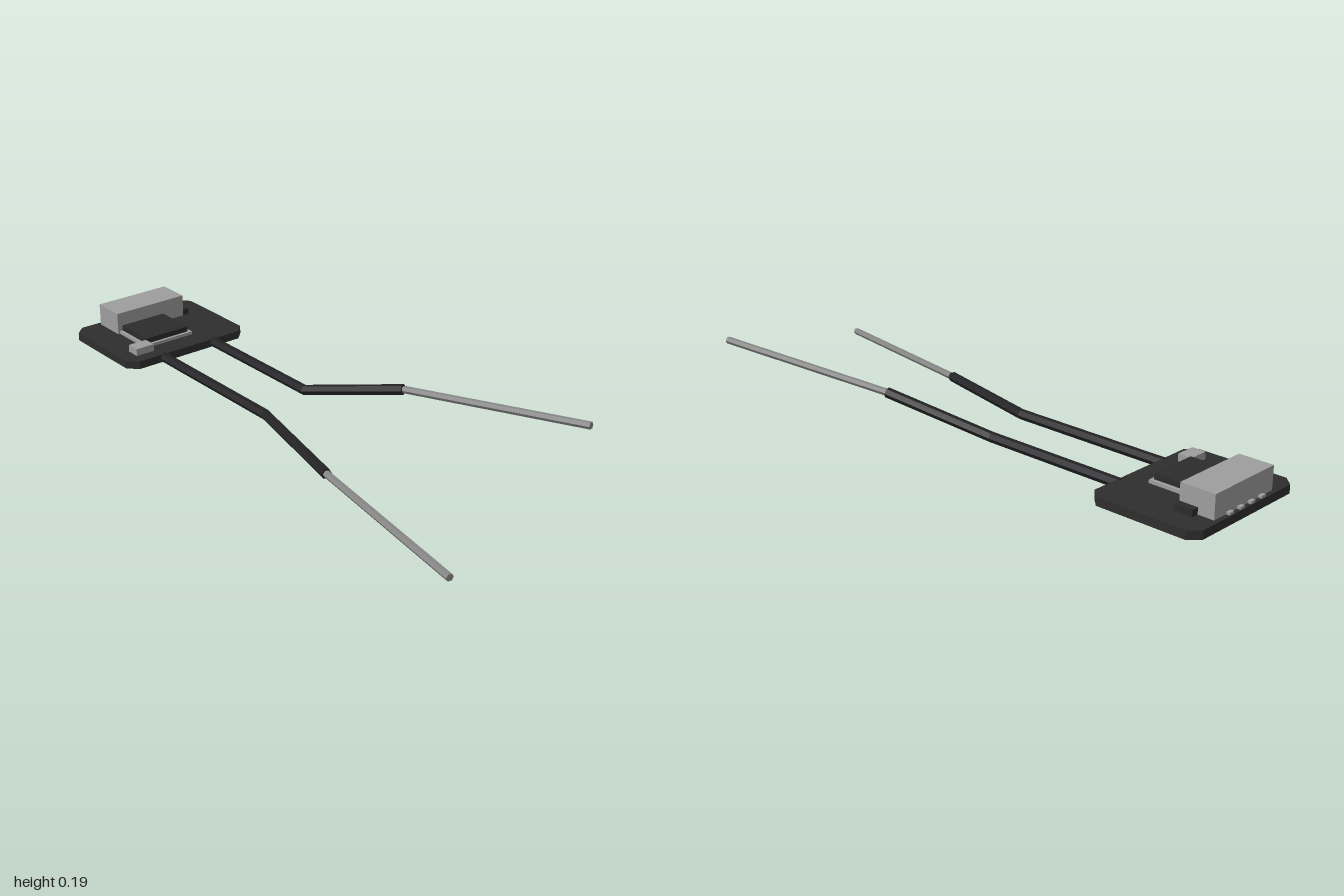
import * as THREE from 'three';

const mat = (name, color) => new THREE.MeshStandardMaterial({ name, color, flatShading: true });

// Six-sided rod through a list of points, mitred at the bends and capped at both ends
function rod(points, radius, sides = 6) {
  const p = points.map((a) => new THREE.Vector3(...a));
  const rings = p.map((c, i) => {
    const before = p[i].clone().sub(p[Math.max(i - 1, 0)]).normalize();
    const after = p[Math.min(i + 1, p.length - 1)].clone().sub(p[i]).normalize();
    const dir = before.add(after).normalize();
    const right = new THREE.Vector3(0, 1, 0).cross(dir).normalize();
    const up = dir.clone().cross(right);
    return Array.from({ length: sides }, (_, k) => {
      const a = (k / sides) * Math.PI * 2;
      return c.clone().addScaledVector(right, Math.cos(a) * radius).addScaledVector(up, Math.sin(a) * radius);
    });
  });
  const out = [];
  const last = rings.length - 1;
  for (let k = 0; k < sides; k++) {
    const n = (k + 1) % sides;
    for (let i = 0; i < last; i++) {
      const [a, b, c, d] = [rings[i][k], rings[i][n], rings[i + 1][n], rings[i + 1][k]];
      out.push(a, b, c, a, c, d);
    }
    out.push(p[0], rings[0][n], rings[0][k], p[last], rings[last][k], rings[last][n]);
  }
  const g = new THREE.BufferGeometry().setFromPoints(out);
  g.computeVertexNormals();
  return g;
}

export function createModel() {
  const model = new THREE.Group();
  model.name = 'circuitBoardWithWires';
  const boardBlack = mat('boardBlack', 0x2e2e2e);
  const chipBlack = mat('chipBlack', 0x2c2c2c);
  const wireBlack = mat('wireBlack', 0x232326);
  const metal = mat('metalGrey', 0x9e9e9e);
  const bareMetal = mat('bareWireGrey', 0x868686);

  const add = (name, geometry, material) => {
    const mesh = new THREE.Mesh(geometry, material);
    mesh.name = name;
    model.add(mesh);
    return mesh;
  };
  // Box given by its limits on each axis
  const box = (name, [x0, x1], [y0, y1], [z0, z1], material) =>
    add(name, new THREE.BoxGeometry(x1 - x0, y1 - y0, z1 - z0), material)
      .position.set((x0 + x1) / 2, (y0 + y1) / 2, (z0 + z1) / 2);

  // Board with clipped corners
  const [x0, x1, z0, z1, c, top] = [-0.279, 0.207, -1, -0.622, 0.034, 0.028];
  const outline = new THREE.Shape([
    [x0 + c, -z1], [x1 - c, -z1], [x1, -z1 + c], [x1, -z0 - c],
    [x1 - c, -z0], [x0 + c, -z0], [x0, -z0 - c], [x0, -z1 + c],
  ].map(([x, y]) => new THREE.Vector2(x, y)));
  add('board', new THREE.ExtrudeGeometry(outline, { depth: top, bevelEnabled: false }).rotateX(-Math.PI / 2), boardBlack);

  // Parts on the board
  box('connector', [-0.175, 0.104], [top, 0.106], [-0.985, -0.867], metal);
  for (let i = 0; i < 4; i++) {
    const x = -0.115 + i * 0.051;
    box('connectorPin', [x - 0.01, x + 0.01], [top, 0.036], [-0.997, -0.98], metal);
  }
  box('chipBase', [-0.168, 0.029], [top, 0.039], [-0.89, -0.703], metal);
  box('chip', [-0.157, 0.017], [0.039, 0.058], [-0.88, -0.713], chipBlack);
  box('capacitor', [-0.227, -0.157], [top, 0.053], [-0.716, -0.667], metal);
  box('diode', [0.042, 0.129], [top, 0.05], [-0.93, -0.868], chipBlack);

  // Two insulated wires with bare ends
  const wires = [
    ['right', [-0.143, 0.015, -0.63], [-0.143, 0.015, -0.05], [-0.242, 0.015, 0.37], [-0.349, 0.015, 0.998]],
    ['left', [0.067, 0.015, -0.63], [0.067, 0.015, -0.115], [0.19, 0.107, 0.23], [0.346, 0.176, 0.856]],
  ];
  for (const [side, start, bend, strip, tip] of wires) {
    add(side + 'WireInsulation', rod([start, bend, strip], 0.017), wireBlack);
    add(side + 'WireBareEnd', rod([strip, tip], 0.012), bareMetal);
  }
  return model;
}
